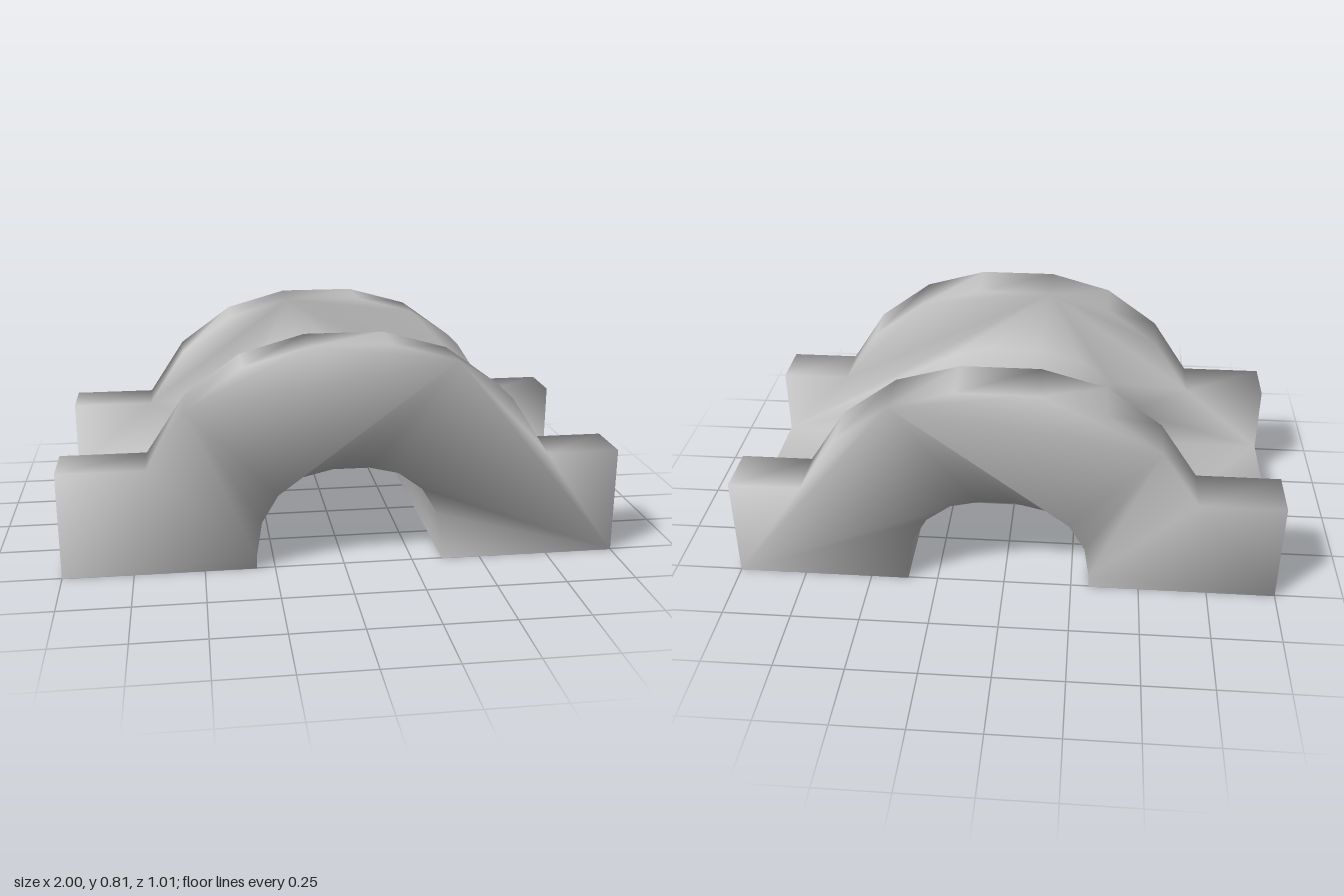
import * as THREE from 'three';

const OUT = 0.505;   // half width of the bridge
const INN = 0.313;   // half width of the roadway between the parapets
const CX = 0.022;    // centre line of the arch

// Right half of an arch, given from the crown down, mirrored to a full left-to-right run
const arch = (half) => [
  ...half.map(([x, y]) => [CX - x, y]).reverse(),
  ...half.map(([x, y]) => [CX + x, y]),
];

const TOP = [[-1, 0.39], ...arch([[0.143, 0.81], [0.375, 0.745], [0.575, 0.6], [0.714, 0.39]]), [1, 0.39]];
const DECK = [[-1, 0.13], ...arch([[0.1, 0.555], [0.27, 0.51], [0.405, 0.415], [0.482, 0.28], [0.505, 0.13]]), [1, 0.13]];
const UNDER = arch([[0.065, 0.365], [0.17, 0.34], [0.258, 0.275], [0.317, 0.175], [0.337, 0.05], [0.338, 0]]).reverse();

// Band of quads following a profile between two depths
function strip(points, zFront, zBack) {
  const pos = [];
  for (let i = 0; i < points.length - 1; i++) {
    const [ax, ay] = points[i], [bx, by] = points[i + 1];
    pos.push(ax, ay, zFront, bx, by, zFront, bx, by, zBack);
    pos.push(ax, ay, zFront, bx, by, zBack, ax, ay, zBack);
  }
  return new THREE.BufferGeometry().setAttribute('position', new THREE.Float32BufferAttribute(pos, 3));
}

// Flat outline facing +z, or turned to face -z
function sheet(points, z, faceBack = false) {
  const geo = new THREE.ShapeGeometry(new THREE.Shape(points.map(([x, y]) => new THREE.Vector2(x, y))));
  if (faceBack) geo.setIndex([...geo.index.array].reverse());
  geo.translate(0, 0, z);
  return geo.toNonIndexed();
}

// Smooth normals shared by all parts, so shading flows across the seams
function smoothTogether(geometries) {
  const sums = new Map();
  const key = (v) => [v.x, v.y, v.z].map((n) => Math.round(n * 1000)).join();
  const each = (geo, fn) => {
    const p = geo.attributes.position;
    for (let i = 0; i < p.count; i += 3) {
      fn([0, 1, 2].map((k) => new THREE.Vector3().fromBufferAttribute(p, i + k)), i);
    }
  };
  for (const geo of geometries) {
    each(geo, ([a, b, c]) => {
      const n = b.clone().sub(a).cross(c.clone().sub(a));
      for (const v of [a, b, c]) {
        if (!sums.has(key(v))) sums.set(key(v), new THREE.Vector3());
        sums.get(key(v)).add(n);
      }
    });
  }
  for (const geo of geometries) {
    const normals = [];
    each(geo, (tri) => tri.forEach((v) => normals.push(...sums.get(key(v)).clone().normalize().toArray())));
    geo.setAttribute('normal', new THREE.Float32BufferAttribute(normals, 3));
  }
}

export function createModel() {
  const stone = new THREE.MeshStandardMaterial({ color: 0xc4c4c4, side: THREE.DoubleSide });
  stone.name = 'stone grey';

  const side = [[-1, 0], ...UNDER.slice().reverse(), [1, 0], ...TOP.slice().reverse()];
  const inner = [...DECK, ...TOP.slice().reverse()];
  const end = [[-OUT, 0], [OUT, 0], [OUT, 0.39], [INN, 0.39], [INN, 0.13], [-INN, 0.13], [-INN, 0.39], [-OUT, 0.39]];

  // Hollow shell, open at the base of both feet
  const parts = {
    frontSide: sheet(side, OUT),
    backSide: sheet(side, -OUT, true),
    frontParapetInside: sheet(inner, INN, true),
    backParapetInside: sheet(inner, -INN),
    frontParapetTop: strip(TOP, OUT, INN),
    backParapetTop: strip(TOP, -INN, -OUT),
    roadway: strip(DECK, INN, -INN),
    archUnderside: strip(UNDER, OUT, -OUT),
    leftEnd: sheet(end, 0).rotateY(Math.PI / 2).translate(1, 0, 0),
    rightEnd: sheet(end, 0).rotateY(-Math.PI / 2).translate(-1, 0, 0),
  };
  smoothTogether(Object.values(parts));

  const bridge = new THREE.Group();
  bridge.name = 'archBridge';
  for (const [name, geo] of Object.entries(parts)) {
    const mesh = new THREE.Mesh(geo, stone);
    mesh.name = name;
    bridge.add(mesh);
  }
  return bridge;
}
